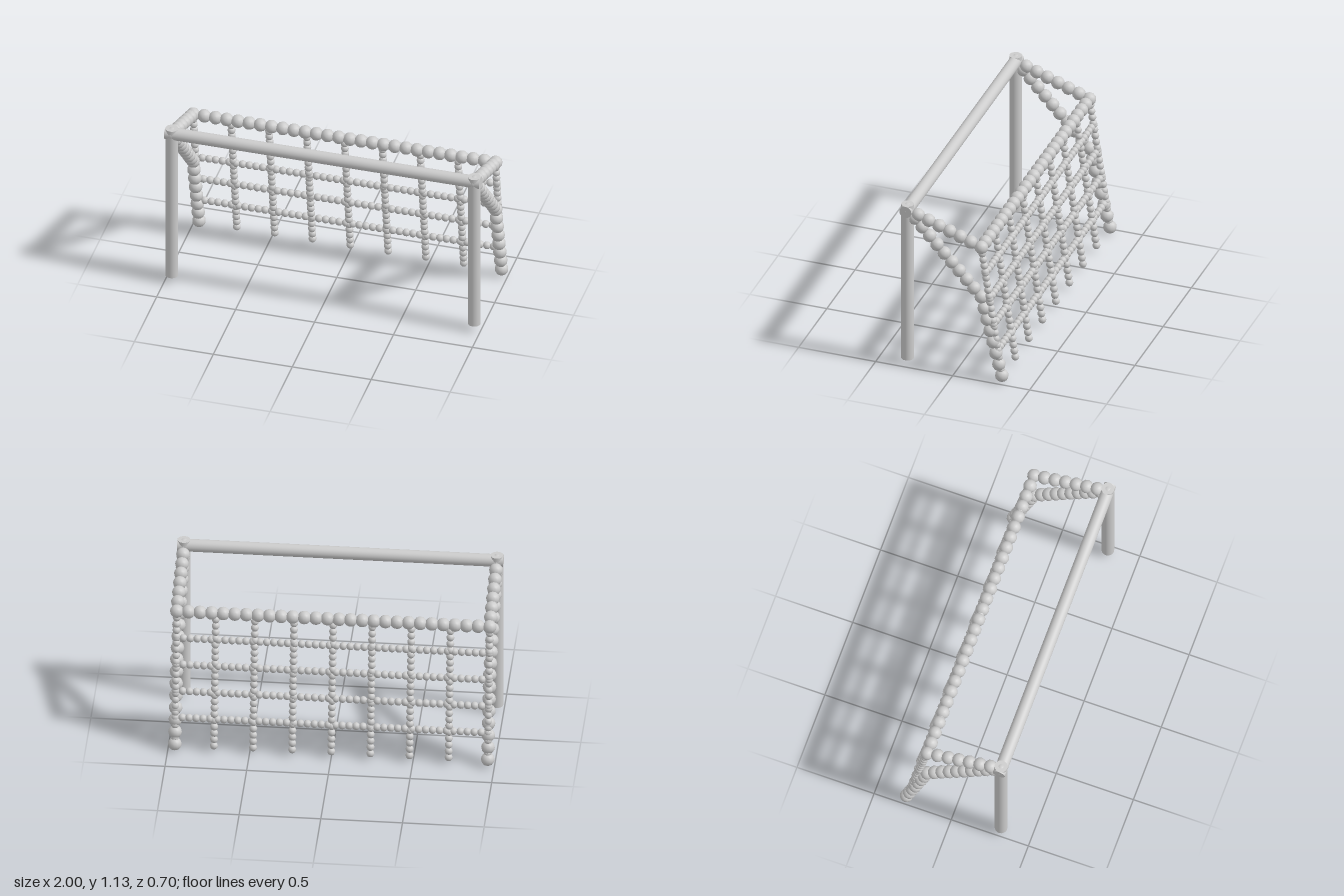
import * as THREE from 'three';

export function createModel() {
  const model = new THREE.Group();
  model.name = 'goalFrameWithBeadNet';
  const grey = new THREE.MeshStandardMaterial({ color: 0xcccccc });
  grey.name = 'light grey';

  const SIDE = 0.958;      // x of the posts and side ropes
  const BAR_R = 0.039;
  const bigBead = new THREE.SphereGeometry(0.042, 12, 8);
  const smallBead = new THREE.SphereGeometry(0.0245, 10, 8);

  const V = (x, y, z) => new THREE.Vector3(x, y, z);

  // A straight string of beads from a to b, both ends included
  function beadRope(name, geometry, a, b, steps) {
    const rope = new THREE.Group();
    rope.name = name;
    for (let i = 0; i <= steps; i++) {
      const bead = new THREE.Mesh(geometry, grey);
      bead.name = 'bead';
      bead.position.lerpVectors(a, b, i / steps);
      rope.add(bead);
    }
    model.add(rope);
  }

  // Key points of the side profile
  const corner = x => V(x, 1.093, 0.308);
  const netTop = x => V(x, 0.92, -0.171);
  const knee = x => V(x, 0.572, -0.171);
  const foot = x => V(x, 0.045, -0.304);

  // Posts
  for (const s of [-1, 1]) {
    const post = new THREE.Mesh(new THREE.CylinderGeometry(BAR_R, BAR_R, 1.084, 32), grey);
    post.name = s > 0 ? 'leftPost' : 'rightPost';
    post.position.set(s * SIDE, 0.59, 0.308);
    model.add(post);
  }

  // Crossbar
  const crossbar = new THREE.Mesh(new THREE.CylinderGeometry(BAR_R, BAR_R, 1.996, 32), grey);
  crossbar.name = 'crossbar';
  crossbar.rotation.z = Math.PI / 2;
  crossbar.position.set(0, 1.093, 0.308);
  model.add(crossbar);

  // Thick side ropes
  for (const s of [-1, 1]) {
    const x = s * SIDE;
    const side = s > 0 ? 'left' : 'right';
    beadRope(side + 'TopRope', bigBead, corner(x), netTop(x), 7);
    beadRope(side + 'SlopeRope', bigBead, corner(x), knee(x), 10);
    beadRope(side + 'LowerRope', bigBead, knee(x), foot(x), 7);
  }

  // Thick rope along the top of the net
  beadRope('netTopRope', bigBead, netTop(-SIDE), netTop(SIDE), 27);

  // Thin upright net strings
  for (let i = 0; i <= 8; i++) {
    const x = SIDE * (i / 4 - 1);
    beadRope('netUpright', smallBead, netTop(x), foot(x), 21);
  }

  // Thin cross strings of the net
  for (let i = 1; i <= 4; i++) {
    const at = x => netTop(x).lerp(foot(x), i / 5);
    beadRope('netCrossString', smallBead, at(-SIDE), at(SIDE), 45);
  }

  return model;
}
